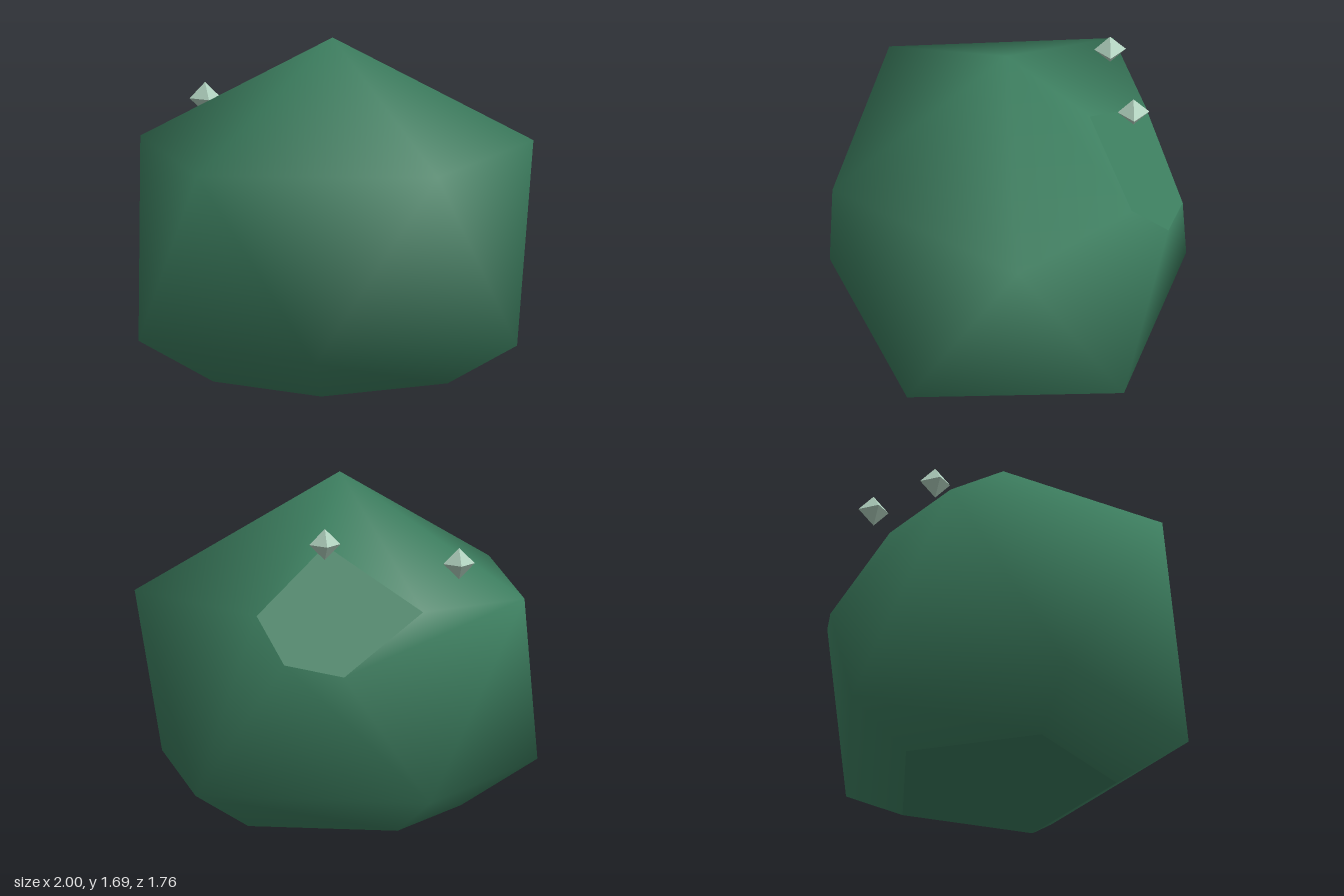
import * as THREE from 'three';

const V = (x, y, z) => new THREE.Vector3(x, y, z);

// Keep the part of a smooth polygon mesh behind a plane; returns the faces and a flat cap
function clip(faces, n, d) {
  const kept = [], rim = [];
  for (const face of faces) {
    const out = [];
    face.forEach((a, i) => {
      const b = face[(i + 1) % face.length];
      const da = a.p.dot(n) - d, db = b.p.dot(n) - d;
      if (da <= 0) out.push(a);
      if (da * db < 0) {
        const t = da / (da - db);
        const c = { p: a.p.clone().lerp(b.p, t), n: a.n.clone().lerp(b.n, t).normalize() };
        out.push(c);
        if (!rim.some((r) => r.distanceTo(c.p) < 1e-5)) rim.push(c.p);
      }
    });
    if (out.length > 2) kept.push(out);
  }
  // sort the rim counter-clockwise about the plane normal
  const mid = rim.reduce((s, p) => s.add(p), V(0, 0, 0)).divideScalar(rim.length);
  const u = rim[0].clone().sub(mid).normalize(), w = n.clone().cross(u);
  const angle = (p) => Math.atan2(p.clone().sub(mid).dot(w), p.clone().sub(mid).dot(u));
  rim.sort((a, b) => angle(a) - angle(b));
  return { kept, cap: rim.map((p) => ({ p, n: n.clone() })) };
}

// Fan-triangulate polygons into a geometry
function toGeometry(faces) {
  const pos = [], nor = [];
  for (const f of faces)
    for (let i = 1; i < f.length - 1; i++)
      for (const v of [f[0], f[i], f[i + 1]]) {
        pos.push(...v.p.toArray());
        nor.push(...v.n.toArray());
      }
  const g = new THREE.BufferGeometry();
  g.setAttribute('position', new THREE.Float32BufferAttribute(pos, 3));
  g.setAttribute('normal', new THREE.Float32BufferAttribute(nor, 3));
  return g;
}

// Squashed icosahedron: top, upper ring, lower ring, bottom
function boulderFaces() {
  const pts = [
    V(-0.02, 1.69, 0.01),
    V(1, 1.13, 0), V(0.29, 1.13, 0.88), V(-0.845, 1.13, 0.55), V(-0.85, 1.14, -0.55), V(0.26, 1.09, -0.835),
    V(0.78, 0.21, 0.535), V(-0.33, 0.22, 0.865), V(-1, 0.22, 0), V(-0.33, 0.2, -0.885), V(0.78, 0.2, -0.53),
    V(-0.02, -0.35, 0),
  ];
  const tris = [];
  for (let i = 0; i < 5; i++) {
    const j = (i + 1) % 5, u = 1 + i, u2 = 1 + j, l = 6 + i, l2 = 6 + j;
    tris.push([0, u2, u], [u, u2, l], [u2, l2, l], [11, l, l2]);
  }
  const smooth = new THREE.BufferGeometry().setFromPoints(pts);
  smooth.setIndex(tris.flat());
  smooth.computeVertexNormals();
  const verts = pts.map((p, i) => ({ p, n: V(0, 0, 0).fromBufferAttribute(smooth.attributes.normal, i) }));
  return tris.map((t) => t.map((i) => verts[i]));
}

export function createModel() {
  const group = new THREE.Group();
  const green = new THREE.MeshStandardMaterial({ color: 0x3d7f60 });
  green.name = 'deep green';
  const pale = new THREE.MeshStandardMaterial({ color: 0xb0d0be, flatShading: true });
  pale.name = 'pale mint';

  const add = (name, geometry, material) => {
    const mesh = new THREE.Mesh(geometry, material);
    mesh.name = name;
    group.add(mesh);
    return mesh;
  };

  // Boulder, cut flat at the ground and sliced at one rear corner
  const ground = clip(boulderFaces(), V(0, -1, 0), 0);
  const normal = V(0.11, 0.62, -0.775);
  const length = normal.length();
  const slice = clip(ground.kept, normal.divideScalar(length), 1.187 / length);
  add('boulder', toGeometry(slice.kept), green);
  add('boulderBase', toGeometry([ground.cap]), green);
  add('rearFacet', toGeometry([slice.cap]), green);

  // Small floating crystals behind the boulder
  const crystal = new THREE.OctahedronGeometry(0.078);
  add('rightCrystal', crystal, pale).position.set(-0.53, 1.32, -0.52);
  add('leftCrystal', crystal, pale).position.set(0.15, 1.455, -0.605);

  return group;
}
